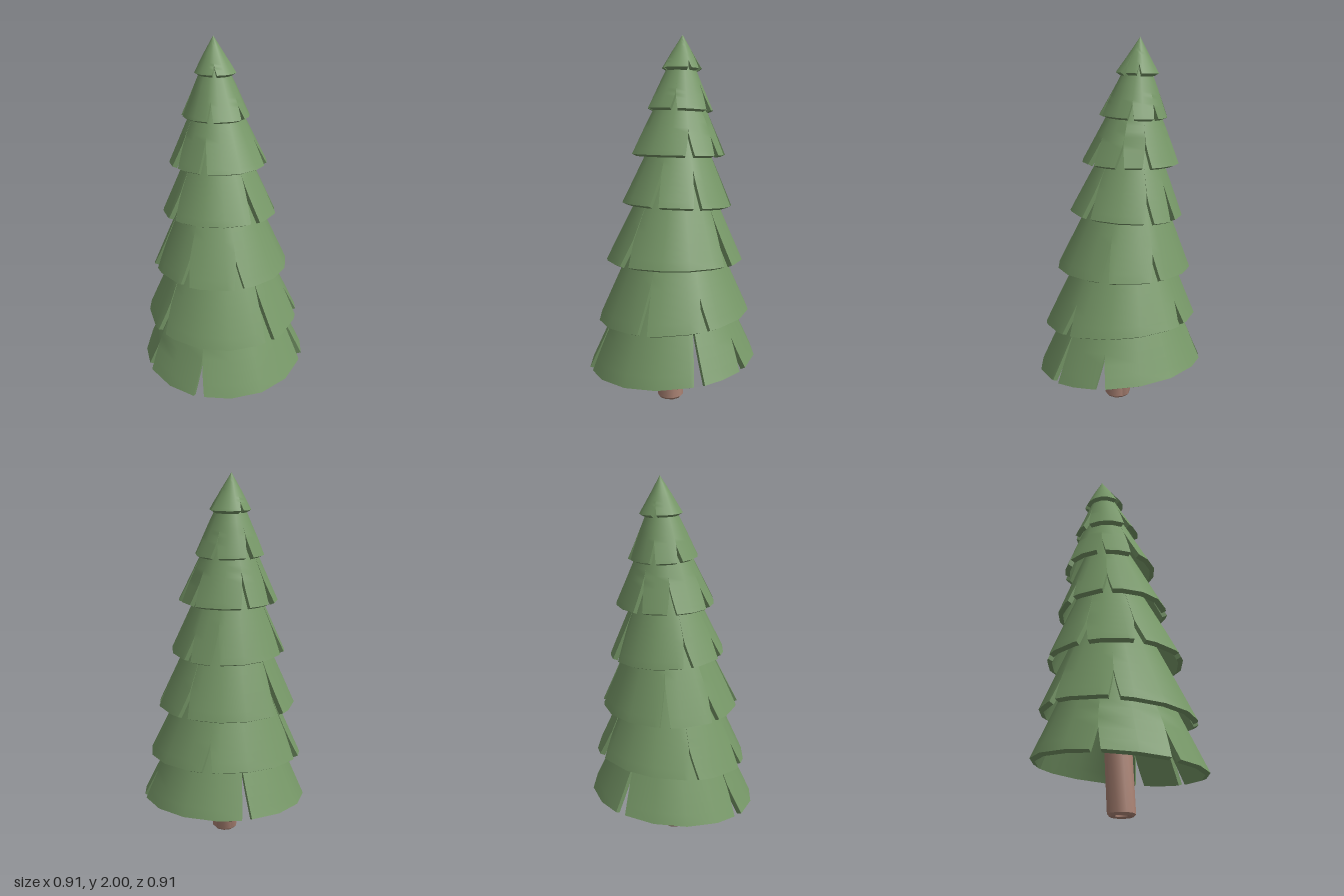
import * as THREE from 'three';
import { toCreasedNormals } from 'three/addons/utils/BufferGeometryUtils.js';

const RAD = Math.PI / 180, SIDES = 16, ROWS = 16, THICK = 0.028, HEIGHT = 2;
const { lerp } = THREE.MathUtils;

// Branch tiers, bottom to top: rim height, rim radius, rim rise per unit of z,
// and directions of short and tall notches in degrees (0 = +x, 90 = +z)
const TIERS = [
  { y: 0.235, r: 0.454, tilt: -0.1, short: [-19, 112, 160], tall: [17, 250] },
  { y: 0.495, r: 0.414, tilt: -0.085, short: [12, 148, 196, 278], tall: [57] },
  { y: 0.79, r: 0.368, tilt: 0, short: [-58, 80, 126, 172], tall: [-15, 216] },
  { y: 1.09, r: 0.303, tilt: 0.05, short: [150, 192, 307], tall: [13, 57, 277] },
  { y: 1.36, r: 0.256, tilt: 0.02, short: [21, 155, 205, 310, 342], tall: [112, 245] },
  { y: 1.6, r: 0.18, tilt: 0.05, short: [45, 185, 290, 335], tall: [105, 230] },
  { y: 1.82, r: 0.11, tilt: 0.03, short: [10, 95, 325], tall: [232] },
];

// The tree leans back and a little to one side, more toward the tip
function axisAt(y) {
  const lean = Math.max(0, (y - TIERS[0].y) / (HEIGHT - TIERS[0].y)) ** 1.3;
  return new THREE.Vector3(-0.042 * lean, y, -0.1 * lean);
}

// One thick hanging panel between two notches of a tier
function addPanel(out, tier, from, to, lift) {
  const { rim, top, r, topR, tilt } = tier;
  const slope = new THREE.Vector2(r - topR, top.y - rim.y).normalize();

  // Each edge is straight down to the notch tip, then opens toward the rim
  const edge = (notch, sign, t) =>
    notch.angle + sign * notch.halfWidth * Math.max(0, (t - 1 + notch.height) / notch.height);

  const inner = [];
  for (let a = -360; a <= 720; a += 360 / SIDES) {
    if (a > from.angle + from.halfWidth + 0.5 && a < to.angle - to.halfWidth - 0.5) inner.push(a);
  }
  const last = inner.length + 1;

  const point = (col, row, depth) => {
    const t = row / ROWS;
    const a = RAD * (col === 0 ? edge(from, 1, t) : col === last ? edge(to, -1, t) : inner[col - 1]);
    const flare = lift * Math.max(0, t - 0.5) * 2;
    const radius = Math.max(0, lerp(topR, r, t) + flare - slope.y * depth);
    const z = radius * Math.sin(a);
    return [
      lerp(top.x, rim.x, t) + radius * Math.cos(a),
      lerp(top.y, rim.y, t) - slope.x * depth + t * tilt * z,
      lerp(top.z, rim.z, t) + z,
    ];
  };
  const quad = (a, b, c, d) => out.push(...a, ...b, ...d, ...b, ...c, ...d);

  for (let j = 0; j < ROWS; j++) {
    // outer and inner faces
    for (let i = 0; i < last; i++) {
      quad(point(i, j, 0), point(i + 1, j, 0), point(i + 1, j + 1, 0), point(i, j + 1, 0));
      quad(point(i + 1, j, THICK), point(i, j, THICK), point(i, j + 1, THICK), point(i + 1, j + 1, THICK));
    }
    // side walls at the notches
    quad(point(0, j, THICK), point(0, j, 0), point(0, j + 1, 0), point(0, j + 1, THICK));
    quad(point(last, j, 0), point(last, j, THICK), point(last, j + 1, THICK), point(last, j + 1, 0));
  }
  // rim
  for (let i = 0; i < last; i++) {
    quad(point(i, ROWS, 0), point(i + 1, ROWS, 0), point(i + 1, ROWS, THICK), point(i, ROWS, THICK));
  }
}

function buildTier({ y, r, tilt, short, tall }, index, material) {
  // Each cone runs on up inside the tiers above it
  const isTip = index === TIERS.length - 1;
  const rise = isTip ? HEIGHT - y : (r - 0.045) / 0.46;
  const tier = { rim: axisAt(y), top: axisAt(y + rise), r, topR: isTip ? 0 : 0.045, tilt };

  // Notches get shallower and relatively wider toward the tip
  const cut = (angle, height) => ({ angle, halfWidth: 3.5 + 0.5 * index, height: height * Math.min(1, 0.4 / rise) });
  const cuts = [
    ...short.map((angle) => cut(angle, 0.38 - 0.02 * index)),
    ...tall.map((angle) => cut(angle, 0.72 - 0.075 * index)),
  ].sort((a, b) => a.angle - b.angle);
  cuts.push({ ...cuts[0], angle: cuts[0].angle + 360 });

  const positions = [];
  for (let i = 0; i < cuts.length - 1; i++) {
    addPanel(positions, tier, cuts[i], cuts[i + 1], i % 2 ? -0.005 : 0.003);
  }
  const geometry = new THREE.BufferGeometry();
  geometry.setAttribute('position', new THREE.Float32BufferAttribute(positions, 3));
  const mesh = new THREE.Mesh(toCreasedNormals(geometry, 0.5), material);
  mesh.name = isTip ? 'treeTop' : `branchTier${index + 1}`;
  return mesh;
}

// Leaning trunk with a bevelled foot and a small hollow underneath, ending inside the lowest cone
function buildTrunk(material) {
  const profile = [[0, 0.03], [0.03, 0.03], [0.034, 0.004], [0.06, 0], [0.071, 0.012], [0.071, 0.5], [0.03, 1], [0, 1]]
    .map(([r, y]) => new THREE.Vector2(r, y));
  const geometry = new THREE.LatheGeometry(profile, 10);
  const p = geometry.attributes.position;
  for (let i = 0; i < p.count; i++) {
    p.setX(i, p.getX(i) - 0.015 * p.getY(i));
    p.setZ(i, p.getZ(i) + 0.012 - 0.05 * p.getY(i));
  }
  const mesh = new THREE.Mesh(toCreasedNormals(geometry, 0.7), material);
  mesh.name = 'trunk';
  return mesh;
}

export function createModel() {
  const group = new THREE.Group();
  group.name = 'pineTree';
  const needles = new THREE.MeshStandardMaterial({ color: 0x769767 });
  const bark = new THREE.MeshStandardMaterial({ color: 0xac8475 });
  group.add(buildTrunk(bark));
  TIERS.forEach((tier, index) => group.add(buildTier(tier, index, needles)));
  return group;
}
